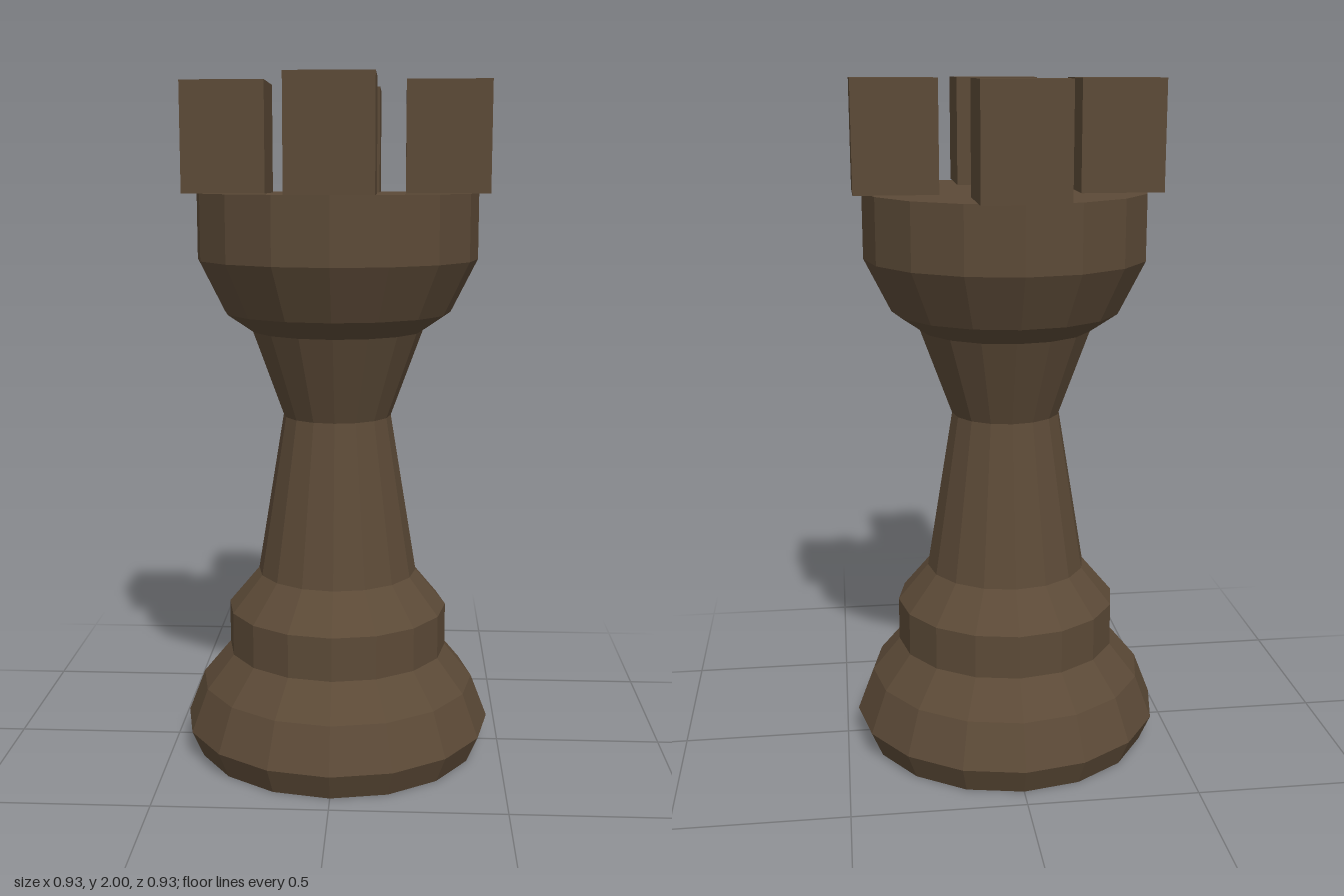
import * as THREE from 'three';

export function createModel() {
  const group = new THREE.Group();
  group.name = 'rookChessPiece';

  const darkWood = new THREE.MeshStandardMaterial({ color: 0x5c4a37, flatShading: true });
  darkWood.name = 'darkWood';

  const SIDES = 16;
  const TOP = 1.685;

  // Turned part from [radius, height] pairs, listed bottom to top
  function turned(name, profile) {
    const points = profile.map(([r, y]) => new THREE.Vector2(r, y));
    const mesh = new THREE.Mesh(new THREE.LatheGeometry(points, SIDES), darkWood);
    mesh.name = name;
    group.add(mesh);
  }

  // Wide foot with a closed underside
  turned('base', [[0, 0], [0.43, 0], [0.465, 0.08], [0.415, 0.21], [0.332, 0.31]]);
  // Step above the foot
  turned('collar', [[0.332, 0.31], [0.332, 0.44], [0.24, 0.55]]);
  // Tapering waist that flares out again
  turned('stem', [[0.24, 0.55], [0.161, 1.03], [0.254, 1.285]]);
  // Tower head with a closed, flat top
  turned('head', [[0.254, 1.285], [0.335, 1.34], [0.413, 1.495], [0.413, TOP], [0, TOP]]);

  // Four battlements, slightly overhanging the head
  const block = new THREE.BoxGeometry(0.24, 2 - TOP, 0.24);
  for (let i = 0; i < 4; i++) {
    const angle = (i * Math.PI) / 2;
    const merlon = new THREE.Mesh(block, darkWood);
    merlon.name = `battlement${i + 1}`;
    merlon.position.set(Math.sin(angle) * 0.32, (2 + TOP) / 2, Math.cos(angle) * 0.32);
    group.add(merlon);
  }

  return group;
}
